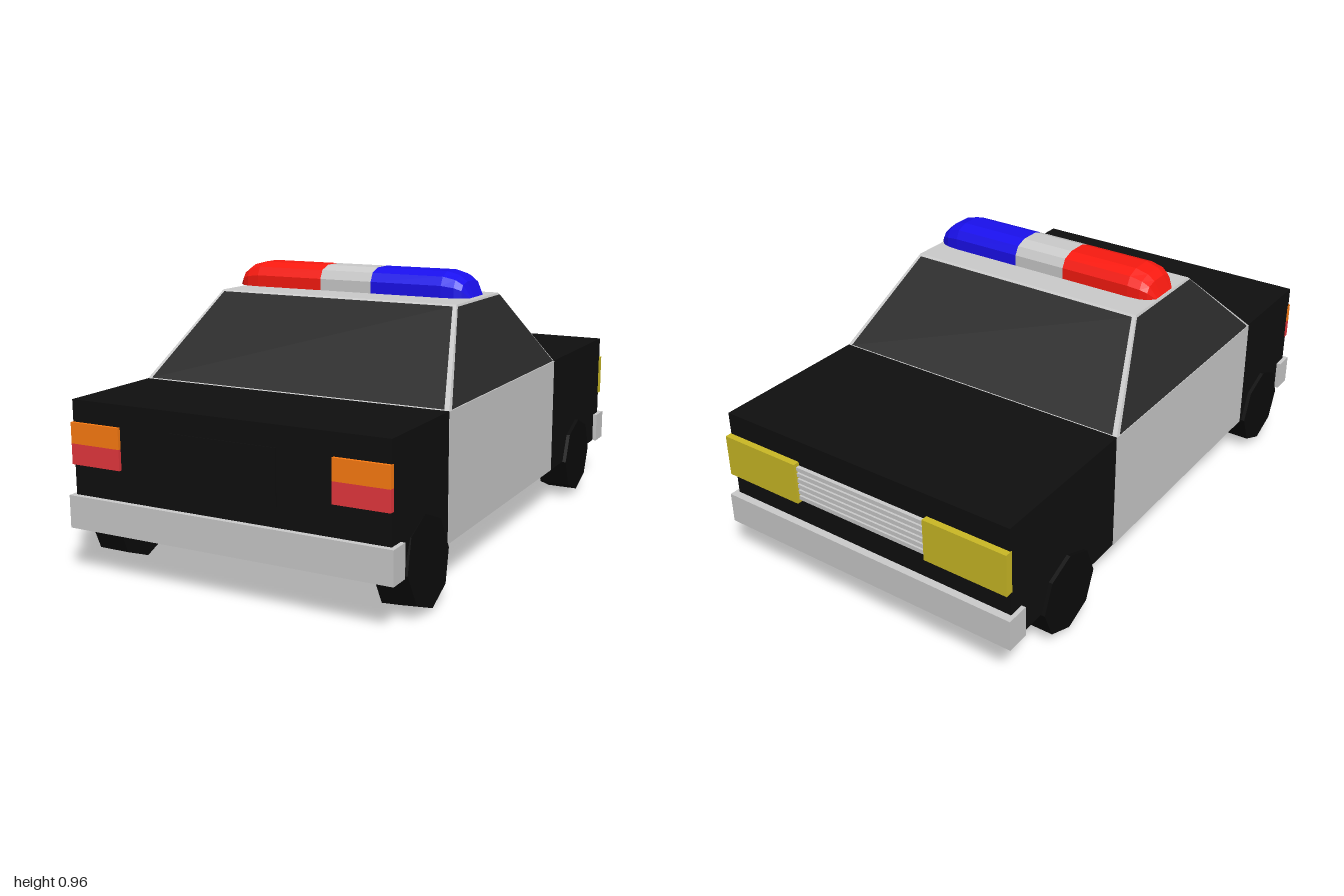
import * as THREE from 'three';

const mat = (color) => new THREE.MeshStandardMaterial({ color, flatShading: true });
const GREY = mat(0xcccccc), BLACK = mat(0x0f0f0f), GLASS = mat(0x2a2a2a), TYRE = mat(0x0b0b0b);
const RED = mat(0xfa1a10), BLUE = mat(0x1a10ee), ORANGE = mat(0xff7d12), TAIL = mat(0xe8383e), YELLOW = mat(0xccba25);

function add(parent, name, geometry, material) {
  const mesh = new THREE.Mesh(geometry, material);
  mesh.name = name;
  parent.add(mesh);
  return mesh;
}

// Box given by its minimum and maximum on each axis
function box(parent, name, material, x0, x1, y0, y1, z0, z1) {
  const mesh = add(parent, name, new THREE.BoxGeometry(x1 - x0, y1 - y0, z1 - z0), material);
  mesh.position.set((x0 + x1) / 2, (y0 + y1) / 2, (z0 + z1) / 2);
  return mesh;
}

// Flat four-cornered panels, corners anticlockwise from outside
function quads(list) {
  const pos = [];
  for (const [a, b, c, d] of list) for (const p of [a, b, c, a, c, d]) pos.push(p.x, p.y, p.z);
  const g = new THREE.BufferGeometry();
  g.setAttribute('position', new THREE.Float32BufferAttribute(pos, 3));
  g.computeVertexNormals();
  return g;
}

// Window inset within a cabin face and lifted slightly off it
function windowPanel([bl, br, tr, tl]) {
  const n = br.clone().sub(bl).cross(tl.clone().sub(bl)).normalize().multiplyScalar(0.003);
  const at = (u, v) => bl.clone().lerp(br, u).lerp(tl.clone().lerp(tr, u), v).add(n);
  return quads([[at(0.014, 0.005), at(0.986, 0.005), at(0.986, 0.975), at(0.014, 0.975)]]);
}

// Light bar piece lofted through stations [x, width scale, height scale]
function lightPiece(stations) {
  const profile = [[0.092, 0], [0.092, 0.04], [0.076, 0.07], [0.036, 0.085],
    [-0.036, 0.085], [-0.076, 0.07], [-0.092, 0.04], [-0.092, 0]];
  const rings = stations.map(([x, w, h]) =>
    profile.map(([z, y]) => new THREE.Vector3(x, 0.88 + y * h, 0.102 + z * w)));
  const faces = [];
  for (let i = 0; i < rings.length - 1; i++) {
    for (let j = 0; j < profile.length; j++) {
      const k = (j + 1) % profile.length;
      faces.push([rings[i][j], rings[i + 1][j], rings[i + 1][k], rings[i][k]]);
    }
  }
  return quads(faces);
}

export function createModel() {
  const car = new THREE.Group();
  car.name = 'car';

  // Body, side doors and bumpers
  box(car, 'body', BLACK, -0.57, 0.57, 0.165, 0.59, -0.97, 0.978);
  for (const s of [-1, 1]) {
    const x = s * 0.5705;
    box(car, s > 0 ? 'leftDoor' : 'rightDoor', GREY, x - 0.002, x + 0.002, 0.166, 0.59, -0.38, 0.588);
  }
  box(car, 'frontBumper', GREY, -0.585, 0.585, 0.165, 0.275, 0.922, 0.997);
  box(car, 'backBumper', GREY, -0.585, 0.585, 0.165, 0.275, -0.997, -0.915);
  box(car, 'platePanel', BLACK, -0.19, 0.19, 0.34, 0.52, 0.975, 0.981);

  // Cabin: tapered grey frame with dark windows
  const V = (x, y, z) => new THREE.Vector3(x, y, z);
  const bottom = [V(-0.57, 0.59, 0.588), V(0.57, 0.59, 0.588), V(0.57, 0.59, -0.38), V(-0.57, 0.59, -0.38)];
  const top = [V(-0.457, 0.873, 0.282), V(0.457, 0.873, 0.282), V(0.457, 0.873, -0.085), V(-0.457, 0.873, -0.085)];
  const sides = bottom.map((b, i) => [b, bottom[(i + 1) % 4], top[(i + 1) % 4], top[i]]);
  add(car, 'cabinFrame', quads([...sides, top]), GREY);
  ['frontWindow', 'leftWindow', 'backWindow', 'rightWindow'].forEach((name, i) =>
    add(car, name, windowPanel(sides[i]), GLASS));

  // Roof light bar
  const bar = new THREE.Group();
  bar.name = 'lightBar';
  car.add(bar);
  const cap = [[0.36, 1, 1], [0.405, 0.95, 0.86], [0.43, 0.85, 0.62], [0.453, 0.6, 0]];
  add(bar, 'blueLight', lightPiece([[0.095, 1, 1], ...cap]), BLUE);
  add(bar, 'middleLight', lightPiece([[-0.105, 1, 1], [0.095, 1, 1]]), GREY);
  const mirrored = cap.map(([x, w, h]) => [-x - 0.006, w, h]).reverse();
  add(bar, 'redLight', lightPiece([...mirrored, [-0.105, 1, 1]]), RED);

  // Lamps on both ends
  for (const s of [-1, 1]) {
    const side = s > 0 ? 'left' : 'right';
    const span = (a, b) => (s > 0 ? [a, b] : [-b, -a]);
    box(car, side + 'OrangeLamp', ORANGE, ...span(0.383, 0.572), 0.447, 0.517, 0.97, 0.989);
    box(car, side + 'RedLamp', TAIL, ...span(0.383, 0.572), 0.378, 0.447, 0.97, 0.989);
    box(car, side + 'Headlight', YELLOW, ...span(0.262, 0.572), 0.36, 0.51, -0.993, -0.965);
  }

  // Grille slats
  for (let i = 0; i < 6; i++) {
    const y = 0.372 + i * 0.022;
    box(car, 'grilleSlat', GREY, -0.262, 0.262, y, y + 0.015, -0.984, -0.965);
  }

  // Eight-sided wheels, one leaning slightly
  for (const s of [-1, 1]) {
    for (const [z, y, r] of [[0.755, 0.16, 0.147], [-0.667, 0.163, 0.143]]) {
      const g = new THREE.CylinderGeometry(r, r, 0.115, 8).rotateZ(Math.PI / 2);
      const wheel = add(car, (s > 0 ? 'left' : 'right') + (z > 0 ? 'Front' : 'Back') + 'Wheel', g, TYRE);
      wheel.position.set(s * 0.526, y, z);
      if (s > 0 && z > 0) wheel.rotation.z = 0.09;
    }
  }
  return car;
}
